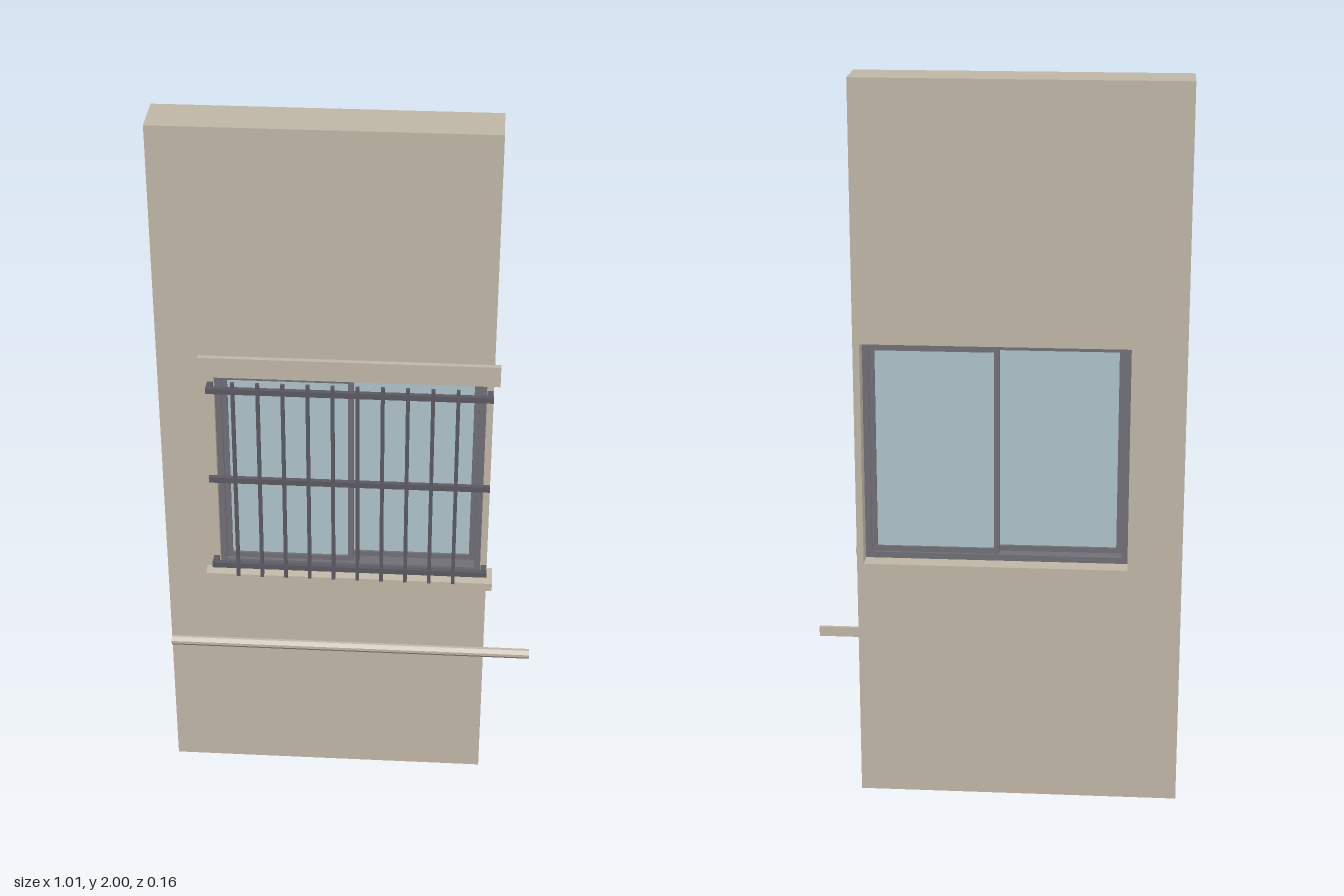
import * as THREE from 'three';

const material = (name, color) => {
  const m = new THREE.MeshStandardMaterial({ color });
  m.name = name;
  return m;
};

export function createModel() {
  const plaster = material('plaster', 0xc0b8a8);
  const frameGrey = material('frame grey', 0x727078);
  const iron = material('iron', 0x5c5a63);
  const glass = material('glass', 0xb0c4cc);

  const model = new THREE.Group();
  model.name = 'windowWall';

  // box given by its limits on each axis
  const box = (parent, name, mat, x0, x1, y0, y1, z0, z1) => {
    const mesh = new THREE.Mesh(new THREE.BoxGeometry(x1 - x0, y1 - y0, z1 - z0), mat);
    mesh.position.set((x0 + x1) / 2, (y0 + y1) / 2, (z0 + z1) / 2);
    mesh.name = name;
    parent.add(mesh);
  };

  // profile of [z, y] points swept along x
  const sweep = (name, points, x0, x1) => {
    const shape = new THREE.Shape(points.map(([z, y]) => new THREE.Vector2(-z, y)));
    const geo = new THREE.ExtrudeGeometry(shape, { depth: x1 - x0, bevelEnabled: false });
    geo.rotateY(Math.PI / 2);
    geo.translate(x0, 0, 0);
    const mesh = new THREE.Mesh(geo, plaster);
    mesh.name = name;
    model.add(mesh);
  };

  // rectangular ring of four bars
  const ring = (parent, name, mat, x0, x1, y0, y1, z0, z1, w) => {
    const g = new THREE.Group();
    g.name = name;
    box(g, 'leftStile', mat, x1 - w, x1, y0, y1, z0, z1);
    box(g, 'rightStile', mat, x0, x0 + w, y0, y1, z0, z1);
    box(g, 'topRail', mat, x0 + w, x1 - w, y1 - w, y1, z0, z1);
    box(g, 'bottomRail', mat, x0 + w, x1 - w, y0, y0 + w, z0, z1);
    parent.add(g);
  };

  // wall with window opening
  const X = 0.358, Y0 = 0.68, Y1 = 1.3;
  const outline = new THREE.Shape([[-0.505, 0], [0.376, 0], [0.376, 2], [-0.505, 2]].map(p => new THREE.Vector2(...p)));
  outline.holes.push(new THREE.Path([[-X, Y0], [-X, Y1], [X, Y1], [X, Y0]].map(p => new THREE.Vector2(...p))));
  const wallGeo = new THREE.ExtrudeGeometry(outline, { depth: 0.13, bevelEnabled: false });
  wallGeo.translate(0, 0, -0.085);
  const wall = new THREE.Mesh(wallGeo, plaster);
  wall.name = 'wall';
  model.add(wall);

  // lintel, sloped sill with drip lip, and string moulding
  box(model, 'lintel', plaster, -0.395, 0.392, 1.298, 1.356, 0.044, 0.059);
  sweep('sill', [[0.015, 0.664], [0.06, 0.664], [0.064, 0.656], [0.078, 0.656], [0.078, 0.68], [0.015, 0.688]], -0.395, 0.392);
  sweep('moulding', [[0.044, 0.406], [0.053, 0.406], [0.061, 0.416], [0.061, 0.424], [0.053, 0.434], [0.044, 0.434]], -0.505, 0.505);

  // sliding window: outer frame and two overlapping sashes
  const win = new THREE.Group();
  win.name = 'window';
  model.add(win);
  ring(win, 'outerFrame', frameGrey, -X, X, Y0, Y1, -0.035, 0.028, 0.017);
  const sash = (name, x0, x1, z) => {
    ring(win, name, frameGrey, x0, x1, Y0 + 0.017, Y1 - 0.017, z - 0.01, z + 0.01, 0.015);
    box(win, name + 'Glass', glass, x0 + 0.015, x1 - 0.015, Y0 + 0.032, Y1 - 0.032, z - 0.003, z + 0.003);
  };
  sash('leftSash', -0.008, 0.341, -0.018);
  sash('rightSash', -0.341, 0.008, 0.008);

  // security grille: ten uprights, three rails, wall returns
  const grille = new THREE.Group();
  grille.name = 'grille';
  model.add(grille);
  for (let i = 0; i < 10; i++) {
    const x = -0.305 + i * 0.0655;
    box(grille, 'upright', iron, x - 0.005, x + 0.005, 0.675, 1.293, 0.07, 0.079);
  }
  for (const y of [0.71, 0.99, 1.268]) {
    box(grille, 'rail', iron, -0.376, 0.376, y - 0.008, y + 0.008, 0.067, 0.08);
  }
  for (const y of [0.71, 1.268]) for (const s of [-1, 1]) {
    box(grille, 'wallReturn', iron, s * 0.367 - 0.008, s * 0.367 + 0.008, y - 0.009, y + 0.009, 0.044, 0.068);
  }
  return model;
}
